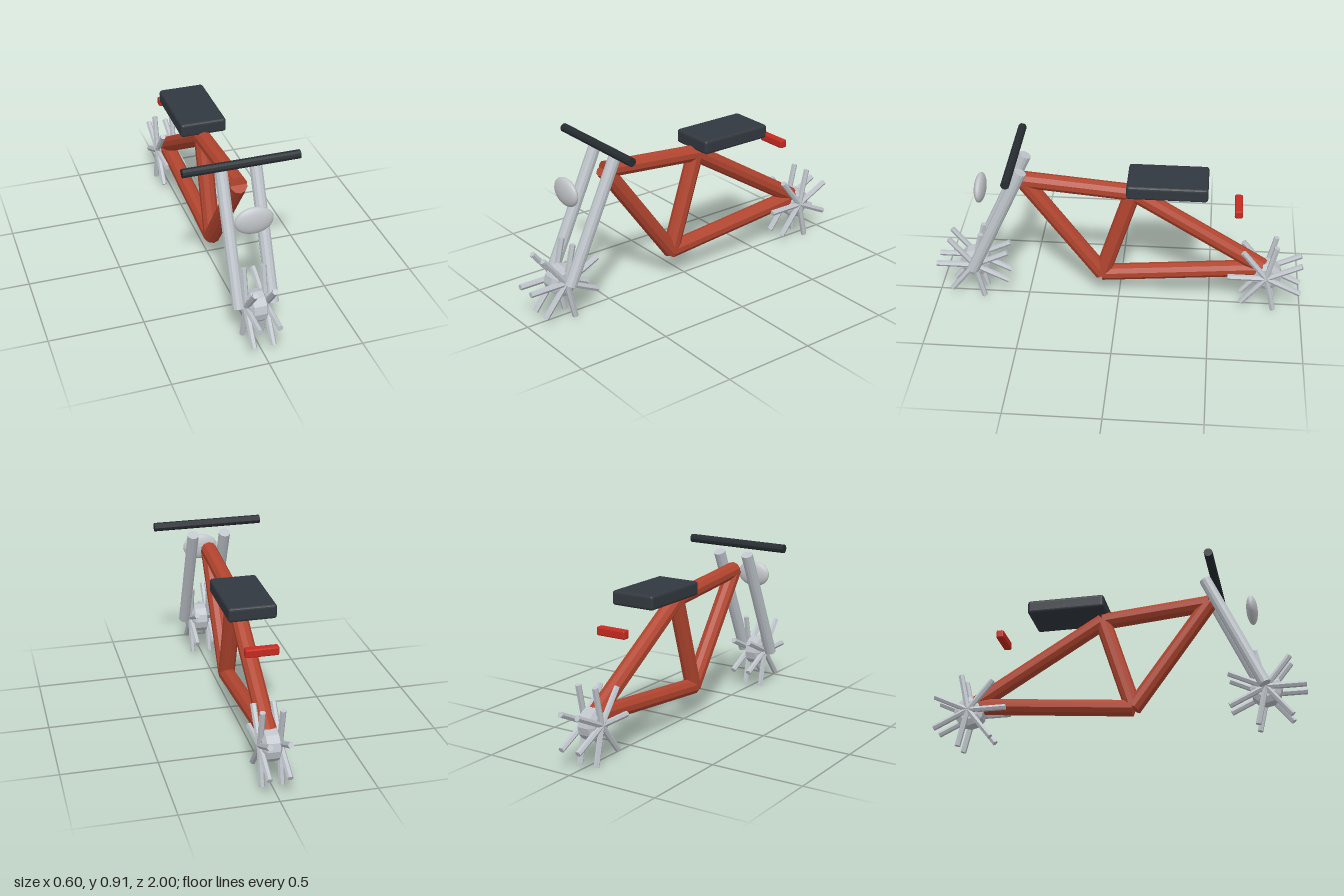
import * as THREE from 'three';
import { RoundedBoxGeometry } from 'three/addons/geometries/RoundedBoxGeometry.js';

function paint(name, color, flatShading = true) {
  const m = new THREE.MeshStandardMaterial({ color, flatShading });
  m.name = name;
  return m;
}

export function createModel() {
  const red = paint('frameRed', 0xb2452f);
  const silver = paint('silver', 0xbfc5cb);
  const lamp = paint('lampSilver', 0xc3c6ca, false);
  const black = paint('gripBlack', 0x262c31);
  const leather = paint('seatCharcoal', 0x32383f);
  const tail = paint('tailRed', 0xc62a20);

  const bike = new THREE.Group();
  bike.name = 'bike';

  function add(parent, name, geometry, material, x = 0, y = 0, z = 0) {
    const mesh = new THREE.Mesh(geometry, material);
    mesh.name = name;
    mesh.position.set(x, y, z);
    parent.add(mesh);
    return mesh;
  }

  // Rod between two [y, z] points in the plane at x
  function rod(parent, name, material, a, b, radius, sides, x = 0, turn = 0) {
    const dy = b[0] - a[0], dz = b[1] - a[1];
    const g = new THREE.CylinderGeometry(radius, radius, Math.hypot(dy, dz), sides, 1, false, turn);
    const mesh = add(parent, name, g, material, x, (a[0] + b[0]) / 2, (a[1] + b[1]) / 2);
    mesh.rotation.x = Math.atan2(dz, dy);
    return mesh;
  }

  // Frame
  const head = [0.742, 0.51], seatJoint = [0.69, -0.075];
  const crank = [0.165, 0.09], rear = [0.245, -0.795];
  const frame = new THREE.Group();
  frame.name = 'frame';
  bike.add(frame);
  [['topTube', head, seatJoint], ['downTube', head, crank], ['seatTube', crank, seatJoint],
    ['chainStay', crank, rear], ['seatStay', seatJoint, rear]]
    .forEach(([name, a, b]) => rod(frame, name, red, a, b, 0.045, 10));

  // Wheels: bevelled hub with seven spokes on each side
  const axleY = 0.2075, reach = 0.209;
  const hubProfile = [[0, -0.05], [0.053, -0.05], [0.083, -0.033], [0.083, 0.033], [0.053, 0.05], [0, 0.05]]
    .map(([r, h]) => new THREE.Vector2(r, h));
  for (const [name, z] of [['frontWheel', 0.791], ['rearWheel', -0.805]]) {
    const wheel = new THREE.Group();
    wheel.name = name;
    wheel.position.set(0, axleY, z);
    bike.add(wheel);
    add(wheel, 'hub', new THREE.LatheGeometry(hubProfile, 12), silver).rotation.z = Math.PI / 2;
    for (const x of [-0.051, 0.051]) {
      for (let i = 0; i < 7; i++) {
        const t = i * Math.PI * 2 / 7;
        rod(wheel, 'spoke', silver, [0, 0], [Math.sin(t) * reach, Math.cos(t) * reach], 0.016, 6, x, Math.PI / 2);
      }
    }
  }

  // Fork
  for (const [name, x] of [['leftForkLeg', 0.09], ['rightForkLeg', -0.09]]) {
    rod(bike, name, silver, [0.208, 0.791], [0.838, 0.503], 0.0325, 12, x);
  }

  // Handlebar and headlight
  const bar = new THREE.CylinderGeometry(0.0235, 0.0235, 0.604, 10);
  add(bike, 'handlebar', bar, black, 0, 0.887, 0.547).rotation.z = Math.PI / 2;
  add(bike, 'headlight', new THREE.SphereGeometry(1, 24, 16), lamp, 0, 0.68, 0.738).scale.set(0.1, 0.074, 0.03);

  // Seat and tail light
  add(bike, 'seat', new RoundedBoxGeometry(0.25, 0.076, 0.424, 2, 0.015), leather, 0, 0.758, -0.26);
  add(bike, 'tailLight', new RoundedBoxGeometry(0.172, 0.046, 0.042, 1, 0.008), tail, 0, 0.631, -0.635);

  return bike;
}
